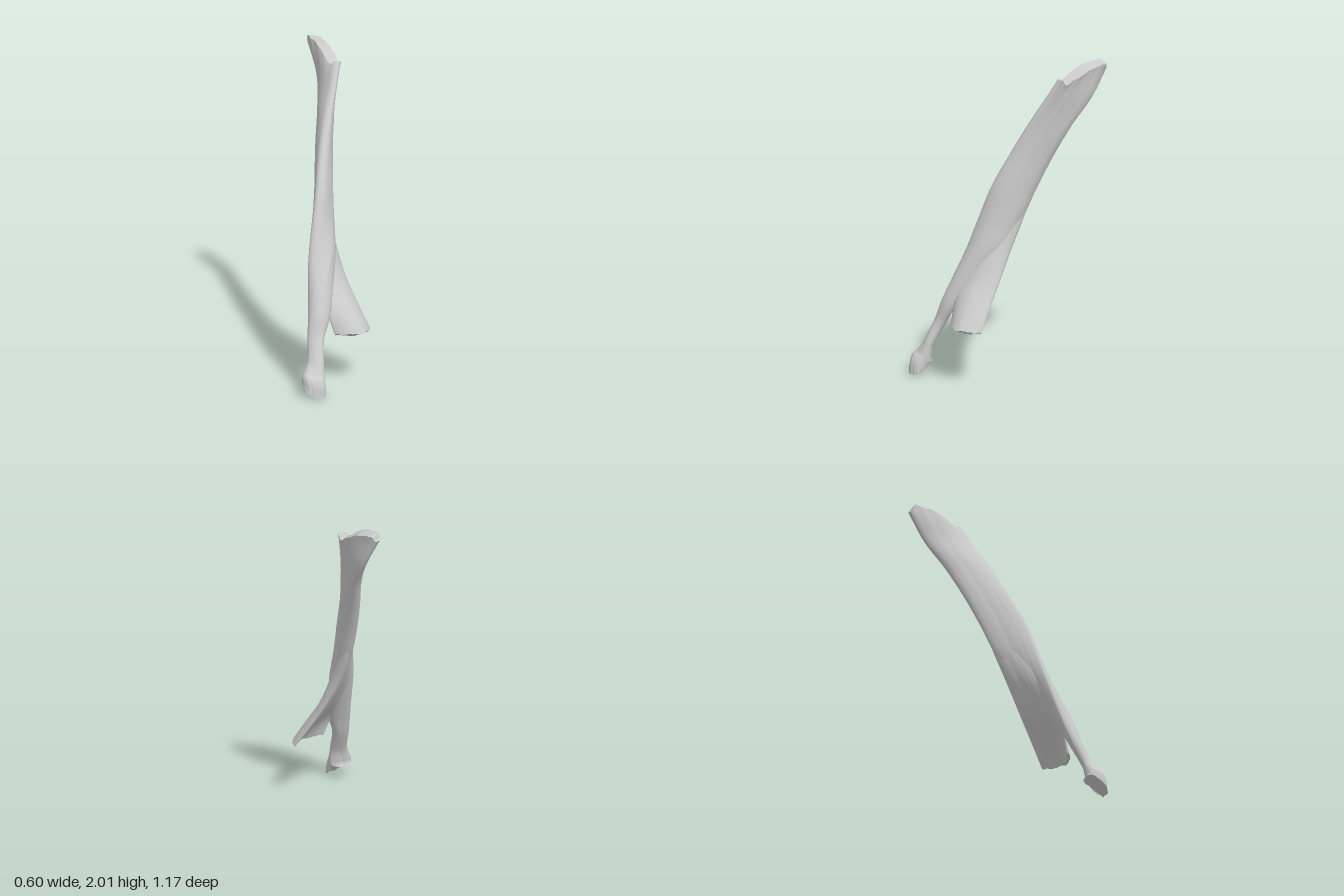
import * as THREE from 'three';

const AROUND = 72, ROWS = 90;
const { smoothstep, clamp } = THREE.MathUtils;

// small repeatable ripple used for fibres and frayed ends
const ripple = (a, s) => Math.sin(7 * a + s) * 0.5 + Math.sin(13 * a + 2.3 * s) * 0.3 + Math.sin(23 * a + 1.7 * s) * 0.25;

// Loft a flattened strap. Each station: a = front edge, p = rear edge,
// t = thickness, bow = outward bend, dir = optional thickness direction.
function strap(name, stations, startEnd, finishEnd) {
  const edge = k => new THREE.CatmullRomCurve3(stations.map(s => new THREE.Vector3(...s[k])));
  const A = edge('a'), P = edge('p');
  const size = new THREE.CatmullRomCurve3(stations.map(s => new THREE.Vector3(s.t, s.bow || 0, s.dir ? 1 : 0)));
  const endDir = stations.at(-1).dir;
  const pos = [], index = [];

  for (let i = 0; i <= ROWS; i++) {
    const v = i / ROWS;
    const a = A.getPoint(v), p = P.getPoint(v), s = size.getPoint(v);
    const mid = a.clone().add(p).multiplyScalar(0.5);
    const half = p.clone().sub(a).multiplyScalar(0.5);
    const along = A.getTangent(v).add(P.getTangent(v)).normalize();
    const out = along.clone().cross(half).normalize();
    if (endDir) out.lerp(new THREE.Vector3(...endDir).normalize(), clamp(s.z, 0, 1)).normalize();
    const nearStart = Math.exp(-v * 28), nearEnd = Math.exp(-(1 - v) * 28);
    for (let j = 0; j < AROUND; j++) {
      const q = j / AROUND * Math.PI * 2, c = Math.cos(q), n = Math.sin(q);
      const u = (c + 1) / 2;
      const full = Math.sign(n) * Math.abs(n) ** 0.85;
      const fibre = 1 + (0.03 + 0.06 * (nearStart + nearEnd)) * ripple(q + v * 0.5, 1);
      const pt = mid.clone()
        .addScaledVector(half, c)
        .addScaledVector(out, s.x / 2 * full * fibre + s.y * n * n)
        .addScaledVector(along, nearStart * startEnd(u, q) + nearEnd * finishEnd(u, q));
      pos.push(pt.x, pt.y, pt.z);
    }
  }
  for (let i = 0; i < ROWS; i++) for (let j = 0; j < AROUND; j++) {
    const k = (j + 1) % AROUND, r = i * AROUND, d = r + AROUND;
    index.push(r + j, r + k, d + j, r + k, d + k, d + j);
  }

  // end caps with their own vertices, so the cut edges stay crisp;
  // each is a ladder between the two faces of the strap
  for (const [row, flip] of [[0, true], [ROWS, false]]) {
    const base = pos.length / 3;
    for (let j = 0; j < AROUND; j++) {
      const o = (row * AROUND + j) * 3;
      pos.push(pos[o], pos[o + 1], pos[o + 2]);
    }
    const tri = (x, y, z) => index.push(base + x, base + (flip ? z : y), base + (flip ? y : z));
    for (let j = 0; j < AROUND / 2; j++) {
      const f0 = j, f1 = j + 1, b0 = (AROUND - j) % AROUND, b1 = AROUND - j - 1;
      if (f1 !== b1) tri(f0, f1, b1);
      if (f0 !== b0) tri(f0, b1, b0);
    }
  }

  const geo = new THREE.BufferGeometry();
  geo.setAttribute('position', new THREE.Float32BufferAttribute(pos, 3));
  geo.setIndex(index);
  geo.computeVertexNormals();
  const mesh = new THREE.Mesh(geo, new THREE.MeshStandardMaterial({ color: 0xcccccc, roughness: 0.8 }));
  mesh.name = name;
  return mesh;
}

export function createModel() {
  const group = new THREE.Group();
  group.name = 'neckMuscle';

  // main belly, twisting from the frayed upper attachment to the lower tendon
  group.add(strap('mainBellyAndTendon', [
    { a: [0.27, 1.92, -0.22], p: [0.22, 1.95, -0.585], t: 0.09 },
    { a: [0.215, 1.8, -0.163], p: [0.24, 1.78, -0.477], t: 0.085 },
    { a: [0.126, 1.6, -0.068], p: [0.212, 1.6, -0.345], t: 0.1 },
    { a: [0.05, 1.4, 0.022], p: [0.158, 1.4, -0.242], t: 0.11, bow: 0.01 },
    { a: [-0.014, 1.2, 0.112], p: [0.118, 1.2, -0.148], t: 0.115, bow: 0.02 },
    { a: [-0.072, 1.0, 0.168], p: [0.097, 1.0, -0.052], t: 0.115, bow: 0.03 },
    { a: [-0.126, 0.8, 0.218], p: [0.08, 0.8, 0.085], t: 0.11, bow: 0.035 },
    { a: [-0.162, 0.6, 0.28], p: [0.005, 0.6, 0.265], t: 0.1, bow: 0.02 },
    { a: [-0.188, 0.45, 0.325], p: [-0.055, 0.45, 0.365], t: 0.09, bow: 0.015 },
    { a: [-0.211, 0.33, 0.37], p: [-0.119, 0.33, 0.42], t: 0.075 },
    { a: [-0.237, 0.2, 0.425], p: [-0.148, 0.2, 0.485], t: 0.07 },
    { a: [-0.287, 0.12, 0.46], p: [-0.152, 0.11, 0.505], t: 0.1 },
    { a: [-0.298, 0.07, 0.495], p: [-0.157, 0.04, 0.52], t: 0.16, dir: [0, -0.55, 0.85] },
  ],
  (u, q) => 0.04 * Math.exp(-(((u - 0.17) / 0.1) ** 2))
    - 0.05 * smoothstep(u, 0.3, 0.6) * (1 - smoothstep(u, 0.85, 1)) + 0.008 * ripple(q, 4),
  (u, q) => 0.01 + 0.012 * ripple(q, 2)));

  // broad fan-shaped head, splitting off behind the belly
  group.add(strap('fanHead', [
    { a: [0.02, 1.1, 0.06], p: [0.105, 1.1, -0.095], t: 0.05 },
    { a: [-0.02, 1.0, 0.105], p: [0.103, 1.0, -0.055], t: 0.08, bow: 0.01 },
    { a: [-0.07, 0.8, 0.18], p: [0.113, 0.8, 0.045], t: 0.09, bow: 0.02 },
    { a: [-0.085, 0.6, 0.275], p: [0.152, 0.6, 0.155], t: 0.075, bow: 0.025 },
    { a: [-0.06, 0.46, 0.35], p: [0.195, 0.45, 0.245], t: 0.055, bow: 0.045 },
    { a: [-0.03, 0.34, 0.385], p: [0.235, 0.33, 0.32], t: 0.04, bow: 0.07 },
  ],
  () => 0,
  (u, q) => 0.038 * Math.sin(q) ** 2 + 0.008 * ripple(q, 3)));

  return group;
}
